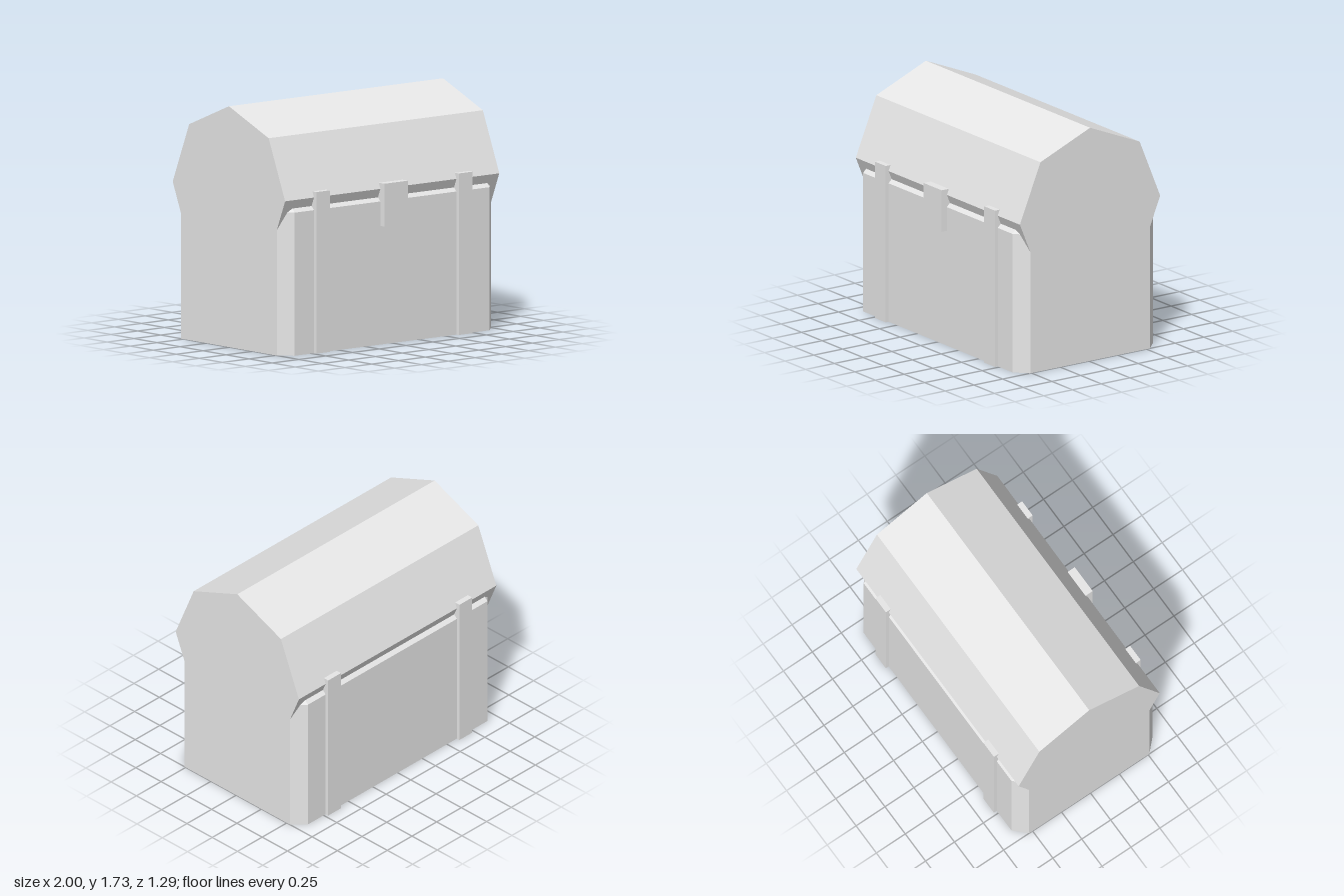
import * as THREE from 'three';
import { ConvexGeometry } from 'three/addons/geometries/ConvexGeometry.js';

export function createModel() {
  const chest = new THREE.Group();
  chest.name = 'chest';
  const lightGrey = new THREE.MeshStandardMaterial({ color: 0xe7e7e7, flatShading: true });
  lightGrey.name = 'lightGrey';

  const add = (name, geometry, x, y, z) => {
    const mesh = new THREE.Mesh(geometry, lightGrey);
    mesh.name = name;
    mesh.position.set(x, y, z);
    chest.add(mesh);
  };

  const centreZ = -0.01; // the latch sticks out in front, so the chest sits slightly back
  const halfWidth = 1, halfDepth = 0.61, rimY = 1.115, bevel = 0.09;

  // Body: box with bevelled upright corners and a bevelled top rim
  const points = [];
  for (const sx of [-1, 1]) {
    for (const sz of [-1, 1]) {
      const innerX = sx * (halfWidth - bevel), innerZ = sz * (halfDepth - bevel);
      for (const y of [0, rimY - bevel]) {
        points.push(new THREE.Vector3(sx * halfWidth, y, innerZ));
        points.push(new THREE.Vector3(innerX, y, sz * halfDepth));
      }
      points.push(new THREE.Vector3(innerX, rimY, innerZ));
    }
  }
  add('body', new ConvexGeometry(points), 0, 0, centreZ);

  // Lid: eight-sided barrel lying along x, its lower half sunk in the body
  const lid = new THREE.CylinderGeometry(halfDepth, halfDepth, 2 * halfWidth, 8);
  lid.rotateZ(Math.PI / 2);
  add('lid', lid, 0, rimY, centreZ);

  // Straps: two upright bands on the front and two on the back
  const strapHeight = 1.157, strapDepth = 0.1;
  const strap = new THREE.BoxGeometry(0.13, strapHeight, strapDepth);
  for (const sx of [-1, 1]) {
    for (const sz of [-1, 1]) {
      const name = (sz > 0 ? 'front' : 'back') + 'Strap' + (sx > 0 ? 'Left' : 'Right');
      add(name, strap, sx * 0.665, strapHeight / 2, centreZ + sz * (0.635 - strapDepth / 2));
    }
  }

  // Latch plate in the middle of the front
  add('latch', new THREE.BoxGeometry(0.22, 0.307, 0.1), 0, 1.0035, 0.595);

  return chest;
}
